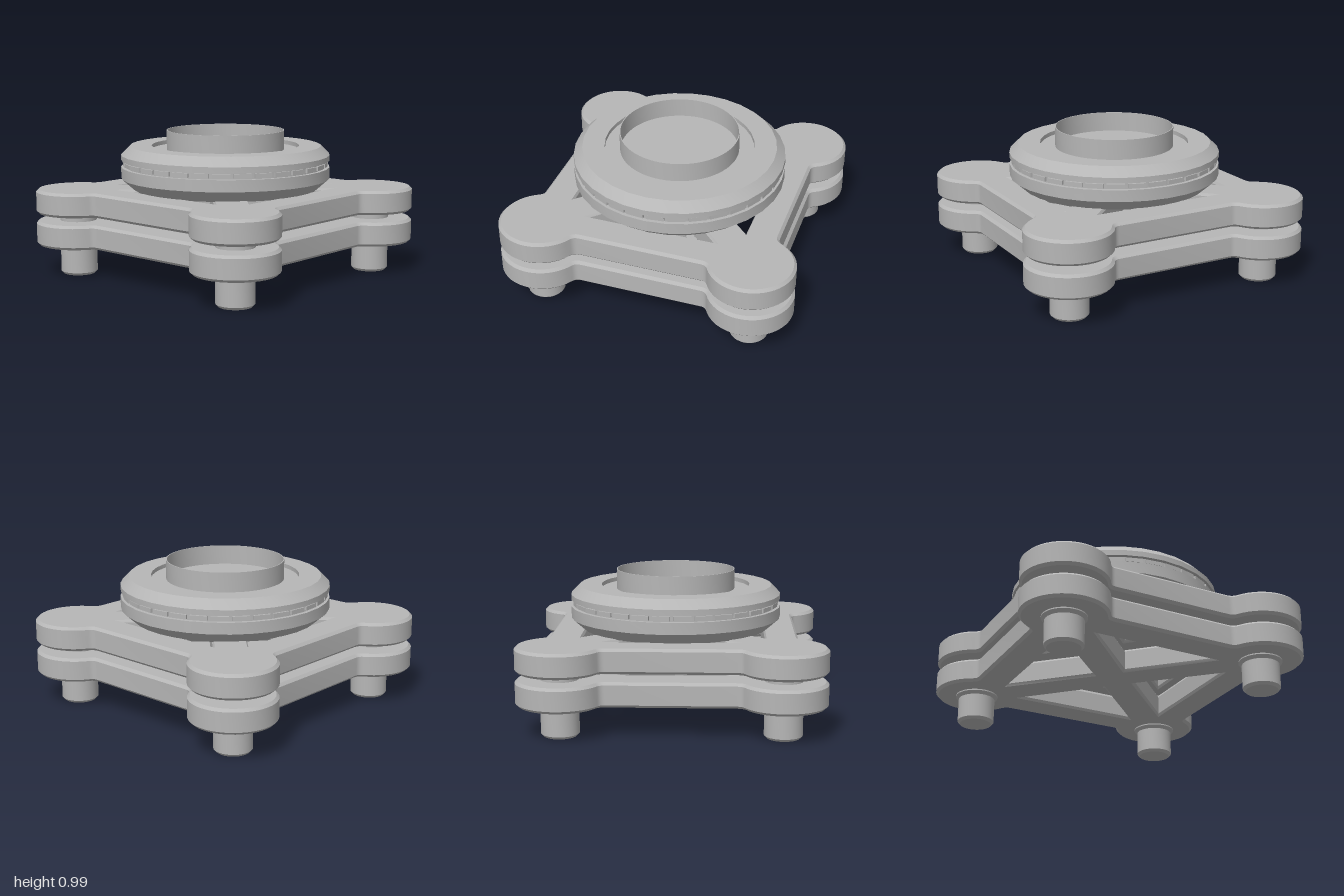
import * as THREE from 'three';
import { toCreasedNormals } from 'three/addons/utils/BufferGeometryUtils.js';

const LOBE = 0.715, LOBE_R = 0.285, SIDE = 0.82, FILLET = 0.05;

// Points along an arc, running from angle a to angle b
function arc(cx, cy, r, a, b, n) {
  return Array.from({ length: n + 1 }, (_, i) => {
    const t = a + (b - a) * i / n;
    return new THREE.Vector2(cx + r * Math.cos(t), cy + r * Math.sin(t));
  });
}

// Square frame with a round lobe at each corner and four triangular openings
function plateShape() {
  const dy = SIDE + FILLET - LOBE;
  const dx = Math.sqrt((LOBE_R + FILLET) ** 2 - dy ** 2);
  const fx = LOBE - dx, fy = SIDE + FILLET, tilt = Math.atan2(dy, dx);
  const corner = [
    ...arc(fy, fx, FILLET, Math.PI, Math.PI / 2 + tilt, 4),
    ...arc(LOBE, LOBE, LOBE_R, -Math.PI / 2 + tilt, Math.PI - tilt, 28).slice(1),
    ...arc(fx, fy, FILLET, -tilt, -Math.PI / 2, 4).slice(1),
  ];
  const turn = (pts, k) => pts.map((p) =>
    p.clone().rotateAround(new THREE.Vector2(), k * Math.PI / 2));
  const outline = [], holes = [];
  const triangle = [[-0.44, 0.6], [0.44, 0.6], [0, 0.16]].map(([x, y]) => new THREE.Vector2(x, y));
  for (let k = 0; k < 4; k++) {
    outline.push(...turn(corner, k));
    holes.push(new THREE.Path(turn(triangle, k)));
  }
  const shape = new THREE.Shape(outline);
  shape.holes = holes;
  return shape;
}

// Surface of revolution with crisp edges
function turned(profile, segments) {
  const pts = profile.map(([x, y]) => new THREE.Vector2(x, y));
  return toCreasedNormals(new THREE.LatheGeometry(pts, segments), 0.4);
}

export function createModel() {
  const model = new THREE.Group();
  const grey = new THREE.MeshStandardMaterial({ color: 0xb6b6b6 });
  grey.name = 'plain grey';
  const add = (name, geometry, parent = model) => {
    const mesh = new THREE.Mesh(geometry, grey);
    mesh.name = name;
    parent.add(mesh);
    return mesh;
  };

  // Two stacked plates with chamfered edges
  const bevel = 0.018, thick = 0.165;
  const plate = new THREE.ExtrudeGeometry(plateShape(), {
    depth: thick - 2 * bevel, bevelEnabled: true, bevelThickness: bevel,
    bevelSize: bevel, bevelOffset: -bevel, bevelSegments: 1,
  });
  plate.translate(0, 0, bevel).rotateX(-Math.PI / 2);
  const plateGeometry = toCreasedNormals(plate, 0.4);
  add('lowerPlate', plateGeometry).position.y = 0.208;
  add('upperPlate', plateGeometry).position.y = 0.425;

  // Corner pins: feet below and necks between the plates
  const foot = turned([[0, 0], [0.108, 0], [0.125, 0.018], [0.125, 0.18], [0.145, 0.2], [0.145, 0.23]], 32);
  const neck = turned([[0.125, 0.36], [0.125, 0.4], [0.16, 0.42], [0.16, 0.44]], 32);
  for (const x of [-LOBE, LOBE]) {
    for (const z of [-LOBE, LOBE]) {
      add('foot', foot).position.set(x, 0, z);
      add('neck', neck).position.set(x, 0, z);
    }
  }

  // Round head with a groove around its rim and a shallow recess on top
  add('head', turned([
    [0.63, 0.585], [0.715, 0.66], [0.715, 0.738], [0.688, 0.738], [0.688, 0.783],
    [0.715, 0.783], [0.715, 0.82], [0.655, 0.88], [0.505, 0.88], [0.505, 0.852], [0, 0.852],
  ], 32));

  // Blocks spaced around the groove
  const blocks = new THREE.Group();
  blocks.name = 'grooveBlocks';
  model.add(blocks);
  const block = new THREE.BoxGeometry(0.115, 0.028, 0.03);
  for (let i = 0; i < 32; i++) {
    const a = (i + 0.5) / 32 * Math.PI * 2;
    const mesh = add('grooveBlock', block, blocks);
    mesh.position.set(Math.sin(a) * 0.685, 0.76, Math.cos(a) * 0.685);
    mesh.rotation.y = a;
  }

  // Thin upright collar
  add('collar', turned([[0.402, 0.85], [0.402, 0.985], [0.396, 0.985], [0.396, 0.85]], 64));

  return model;
}
